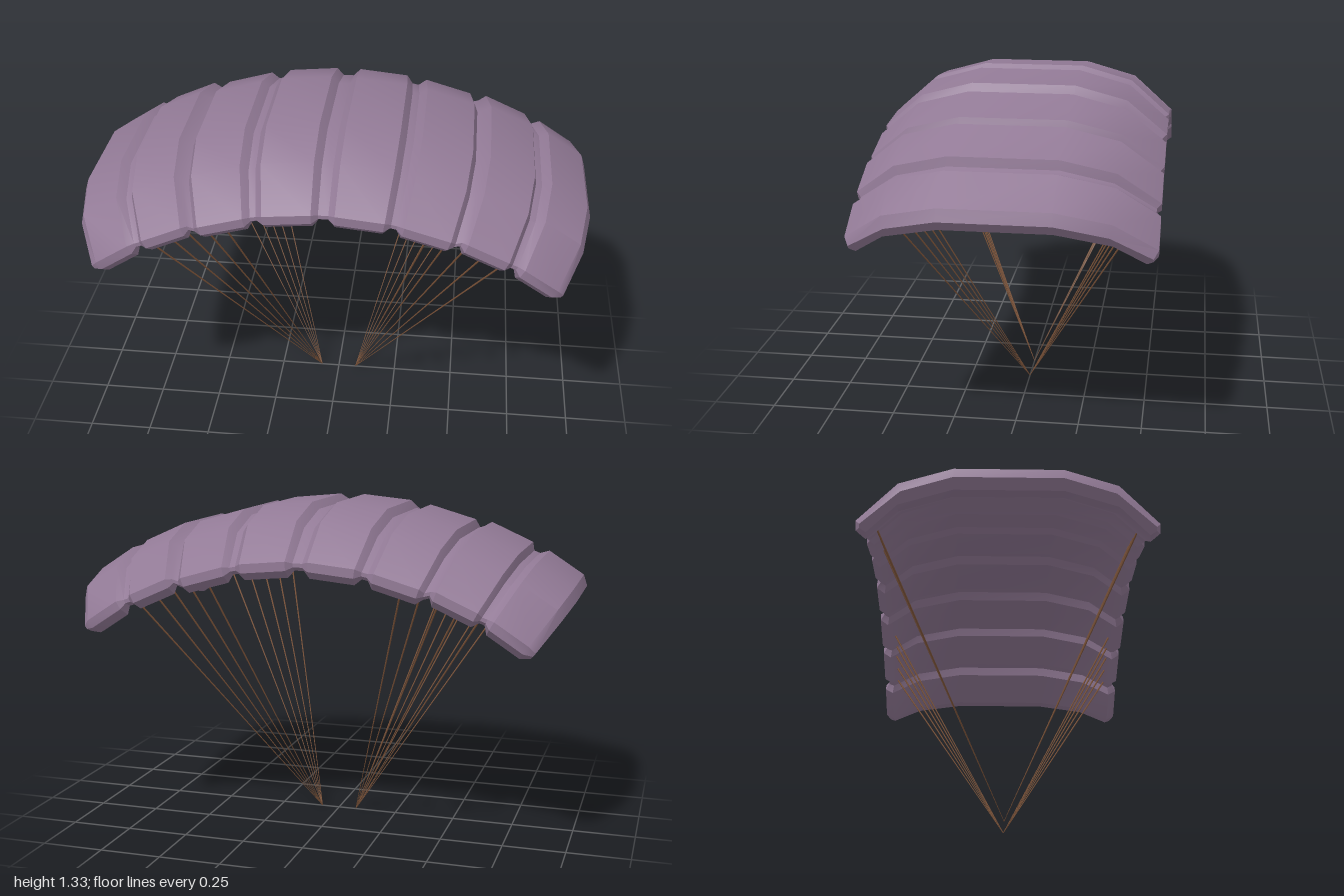
import * as THREE from 'three';
import { toCreasedNormals } from 'three/addons/utils/BufferGeometryUtils.js';

// Half cross-sections as [z, depth]: over the top, round the lip, back underneath
const FULL = [[0.2, 0], [0.4, -0.055], [0.555, -0.19], [0.555, -0.225], [0.52, -0.255], [0.4, -0.155], [0.2, -0.1]];
const SEAM = [[0.2, -0.03], [0.39, -0.083], [0.538, -0.2], [0.538, -0.215], [0.515, -0.23], [0.4, -0.13], [0.2, -0.075]];

// Cells of one half: top centre x, y, tilt in degrees, half width of top, inner and outer seam offsets
const CELLS = [
  [0.153, 1.322, 5.5, 0.103, 0.131, 0.131],
  [0.435, 1.268, 16, 0.1, 0.128, 0.124],
  [0.685, 1.193, 24, 0.094, 0.118, 0.116],
  [0.91, 1.075, 33, 0.085, 0.113, 0.124],
];

// Closed ring of points at offset u across a tilted cell, narrowing with depth
function ring(cell, u, half) {
  const a = THREE.MathUtils.degToRad(cell[2]);
  const loop = [...half, ...half.map(([z, v]) => [-z, v]).reverse()];
  return loop.map(([z, v]) => {
    const w = u * (1 + 0.6 * v);
    return new THREE.Vector3(
      cell[0] + w * Math.cos(a) + v * Math.sin(a),
      cell[1] - w * Math.sin(a) + v * Math.cos(a), z);
  });
}

function canopyGeometry() {
  // Rings from the middle outwards, then mirrored to the other side
  const side = CELLS.flatMap((c) => [
    ring(c, -c[4], SEAM), ring(c, -c[3], FULL), ring(c, c[3], FULL), ring(c, c[5], SEAM),
  ]);
  const mirrored = side.map((r) => r.map((p) => new THREE.Vector3(-p.x, p.y, p.z))).reverse();
  const rings = [...mirrored, ...side];
  const n = rings[0].length;
  const pos = rings.flat().flatMap((p) => p.toArray());
  const index = [];
  const quad = (a, b, c, d) => {
    index.push(a, b, c);
    if (c !== d) index.push(a, c, d);
  };

  for (let i = 0; i < rings.length - 1; i++) {
    for (let j = 0; j < n; j++) {
      const k = (j + 1) % n;
      quad(i * n + j, i * n + k, (i + 1) * n + k, (i + 1) * n + j);
    }
  }

  // End caps
  const last = (rings.length - 1) * n;
  const strips = [[0, 1, 5, 6], [1, 2, 4, 5], [2, 3, 4, 4]];
  const caps = [[13, 0, 6, 7], ...strips,
    ...strips.map(([a, b, c, d]) => [13 - b, 13 - a, 13 - d, 13 - c])];
  for (const [a, b, c, d] of caps) {
    for (const t of [[a, b, c], [a, c, d]]) {
      if (new Set(t).size < 3) continue;
      index.push(...t.map((q) => last + q), t[2], t[1], t[0]);
    }
  }

  const geo = new THREE.BufferGeometry();
  geo.setAttribute('position', new THREE.Float32BufferAttribute(pos, 3));
  geo.setIndex(index);
  return toCreasedNormals(geo, THREE.MathUtils.degToRad(30));
}

// Thin cord between two points, tapering towards the foot
function cord(foot, top, material) {
  const dir = top.clone().sub(foot);
  const mesh = new THREE.Mesh(new THREE.CylinderGeometry(0.004, 0.0012, dir.length(), 5), material);
  mesh.position.copy(foot).addScaledVector(dir, 0.5);
  mesh.quaternion.setFromUnitVectors(new THREE.Vector3(0, 1, 0), dir.normalize());
  mesh.name = 'suspensionLine';
  return mesh;
}

export function createModel() {
  const model = new THREE.Group();
  model.name = 'parafoil';
  const fabric = new THREE.MeshStandardMaterial({ color: 0x927a96 });
  const rope = new THREE.MeshStandardMaterial({ color: 0x7a5238 });

  const canopy = new THREE.Mesh(canopyGeometry(), fabric);
  canopy.name = 'canopy';
  model.add(canopy);

  // A fan of lines from each foot to the front and back lips
  const tops = [[0.39, 1.06], [0.465, 1.045], [0.535, 1.02], [0.61, 0.995], [0.69, 0.965]];
  for (const sx of [-1, 1]) {
    const lines = new THREE.Group();
    lines.name = sx > 0 ? 'leftLines' : 'rightLines';
    for (const sz of [-1, 1]) {
      for (const [x, y] of tops) {
        lines.add(cord(new THREE.Vector3(sx * 0.075, 0, 0), new THREE.Vector3(sx * x, y, sz * 0.5), rope));
      }
    }
    model.add(lines);
  }
  return model;
}
